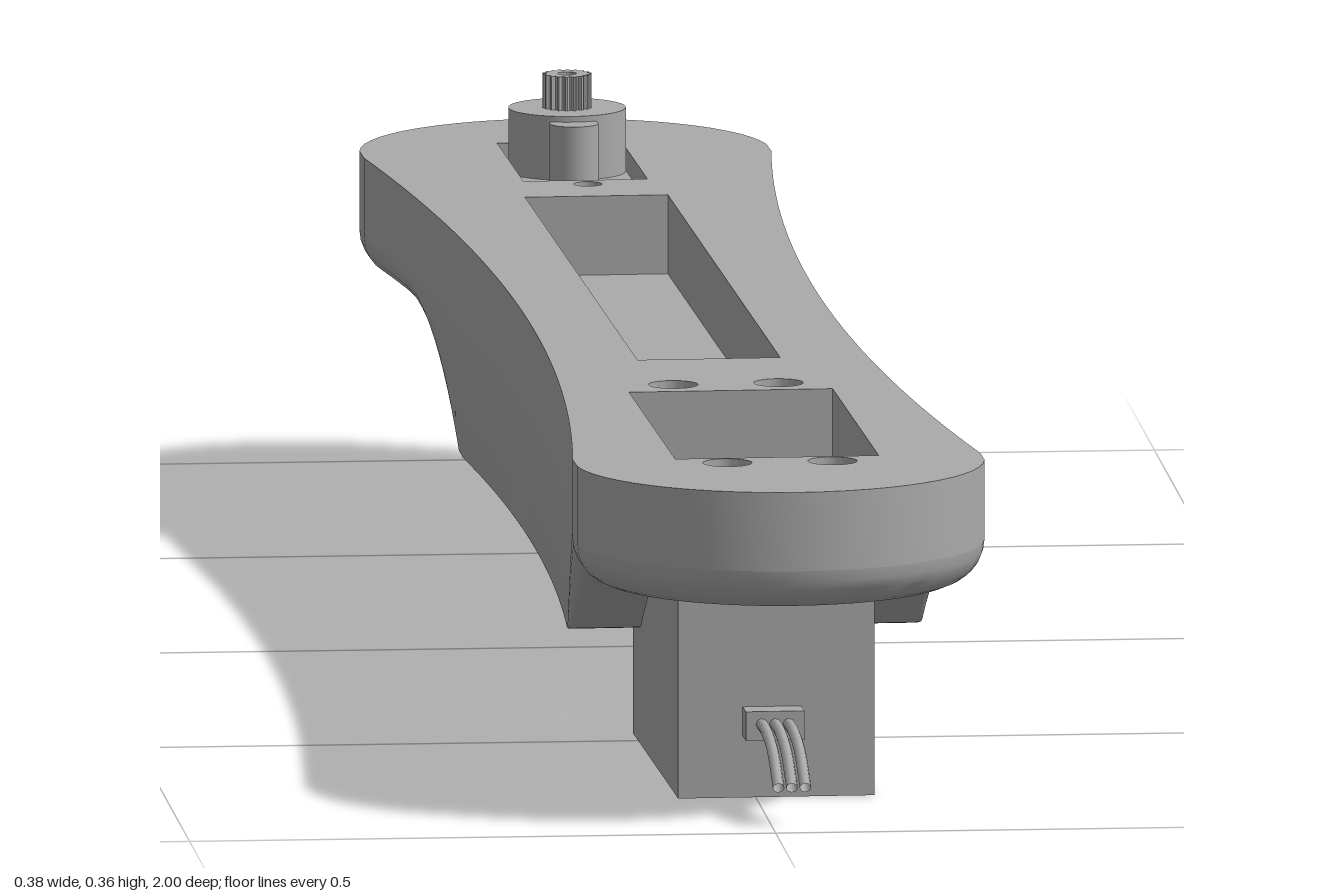
import * as THREE from 'three';
import { toCreasedNormals } from 'three/addons/utils/BufferGeometryUtils.js';

const TOP = 0.293, SHELF = 0.225, END_BOTTOM = 0.19, MID_BOTTOM = 0.105;

// Half outline of the arm from back tip to front tip: z, half width, outward normal
function halfOutline() {
  const pts = [], R = 0.175, C = 0.825, J = 0.807;
  const arc = (s, k) => {
    const a = (k / 14) * Math.PI / 2;
    return { z: s * (C + R * Math.cos(a)), w: R * Math.sin(a), nz: s * Math.cos(a), nw: Math.sin(a) };
  };
  for (let k = 0; k <= 13; k++) pts.push(arc(-1, k));
  for (let k = 0; k <= 80; k++) {
    const z = -J + (2 * J * k) / 80;
    const slope = 2 * 0.0441 * z / (J * J), l = Math.hypot(1, slope);
    pts.push({ z, w: 0.13 + 0.0441 * (z / J) ** 2, nz: -slope / l, nw: 1 / l });
  }
  for (let k = 13; k >= 0; k--) pts.push(arc(1, k));
  return pts;
}

// Underside height: deep in the middle, scooped up to thin ends
function underside(z) {
  const u = z > 0 ? (0.81 - z) / 0.25 : (z + 0.68) / 0.3;
  return END_BOTTOM - (END_BOTTOM - MID_BOTTOM) * Math.pow(THREE.MathUtils.clamp(u, 0, 1), 2.2);
}

// Half width of the motor openings in the underside
function openingHalf(z) {
  if (z > 0.245 && z < 0.89) return 0.089;
  if (z > -0.93 && z < -0.52) {
    const d = Math.max(0, z + 0.58) / 0.06;
    return 0.06 * Math.sqrt(Math.max(0, 1 - d * d));
  }
  return 0;
}

function rectPath(hw, z0, z1) {
  const p = new THREE.Path();
  p.moveTo(-hw, -z0); p.lineTo(hw, -z0); p.lineTo(hw, -z1); p.lineTo(-hw, -z1); p.closePath();
  return p;
}

function circlePath(x, z, r) {
  const p = new THREE.Path();
  p.absarc(x, -z, r, 0, Math.PI * 2, true);
  return p;
}

// Upper layer with pockets and screw holes
function topPlateGeometry(outline) {
  const right = outline.map(p => new THREE.Vector2(p.w, -p.z));
  const left = outline.slice(1, -1).reverse().map(p => new THREE.Vector2(-p.w, -p.z));
  const shape = new THREE.Shape([...right, ...left]);
  shape.holes.push(rectPath(0.061, -0.585, 0.285), rectPath(0.087, 0.455, 0.812), rectPath(0.053, -0.873, -0.67));
  for (const z of [0.418, 0.836]) for (const x of [-0.045, 0.045]) shape.holes.push(circlePath(x, z, 0.021));
  for (const z of [-0.894, -0.65]) shape.holes.push(circlePath(0, z, 0.012));
  const g = new THREE.ExtrudeGeometry(shape, { depth: TOP - SHELF, bevelEnabled: false, curveSegments: 12 });
  g.rotateX(-Math.PI / 2);
  g.translate(0, SHELF, 0);
  return toCreasedNormals(g, 0.5);
}

// Lower shell: side walls, rounded lower edge, scooped underside and openings
function lowerShellGeometry(outline) {
  const pos = [];
  const quad = (a, b, c, d) => pos.push(...a, ...b, ...c, ...a, ...c, ...d);
  const STEPS = 6;
  const slices = outline.map(p => {
    const yb = underside(p.z);
    const r = 0.002 + 0.033 * (yb - MID_BOTTOM) / (END_BOTTOM - MID_BOTTOM);
    const ring = [[p.w, SHELF, p.z]];
    for (let k = 0; k <= STEPS; k++) {
      const a = (k / STEPS) * Math.PI / 2, inset = r * (1 - Math.cos(a));
      ring.push([Math.max(0, p.w - p.nw * inset), yb + r * (1 - Math.sin(a)), p.z - p.nz * inset]);
    }
    return ring;
  });
  const flip = p => [-p[0], p[1], p[2]];
  const both = (a, b, c, d) => { quad(a, b, c, d); quad(flip(d), flip(c), flip(b), flip(a)); };
  for (let i = 0; i + 1 < slices.length; i++) {
    const A = slices[i], B = slices[i + 1], n = A.length - 1;
    for (let k = 0; k < n; k++) both(A[k], B[k], B[k + 1], A[k + 1]);
    const a = A[n], b = B[n];
    let ha = openingHalf(a[2]), hb = openingHalf(b[2]);
    const open = ha > 0 && hb > 0;
    if (!open) ha = hb = 0;
    const ia = [ha, a[1], a[2]], ib = [hb, b[1], b[2]];
    both(a, b, ib, ia);
    if (!open) continue;
    // opening walls
    const ua = [ha, SHELF, a[2]], ub = [hb, SHELF, b[2]];
    both(ia, ib, ub, ua);
    const before = openingHalf(slices[i - 1][n][2]), after = openingHalf(slices[i + 2][n][2]);
    if (before === 0) quad(flip(ia), ia, ua, flip(ua));
    if (after === 0) quad(ib, flip(ib), flip(ub), ub);
  }
  const g = new THREE.BufferGeometry();
  g.setAttribute('position', new THREE.Float32BufferAttribute(pos, 3));
  return toCreasedNormals(g, 0.5);
}

// Toothed output shaft with a centre hole
function splineGeometry() {
  const pts = [], teeth = 18;
  for (let i = 0; i < teeth * 4; i++) {
    const r = i % 4 < 2 ? 0.021 : 0.018, a = (i / (teeth * 4)) * Math.PI * 2;
    pts.push(new THREE.Vector2(r * Math.cos(a), r * Math.sin(a)));
  }
  const shape = new THREE.Shape(pts);
  shape.holes.push(circlePath(0, 0, 0.008));
  const g = new THREE.ExtrudeGeometry(shape, { depth: 0.03, bevelEnabled: false });
  return g.rotateX(-Math.PI / 2);
}

export function createModel() {
  const root = new THREE.Group();
  root.name = 'motorArm';
  const arm = new THREE.Group();
  arm.name = 'armAssembly';
  arm.rotation.y = 0.0218;
  root.add(arm);

  const grey = new THREE.MeshStandardMaterial({ color: 0xaaaaaa, side: THREE.DoubleSide });
  grey.name = 'grey';
  const add = (name, geo, x = 0, y = 0, z = 0) => {
    const m = new THREE.Mesh(geo, grey);
    m.name = name;
    m.position.set(x, y, z);
    arm.add(m);
    return m;
  };
  const box = (name, hw, y0, y1, z0, z1, x = 0) =>
    add(name, new THREE.BoxGeometry(hw * 2, y1 - y0, z1 - z0), x, (y0 + y1) / 2, (z0 + z1) / 2);

  // Arm body
  const outline = halfOutline();
  add('armTopPlate', topPlateGeometry(outline));
  add('armLowerShell', lowerShellGeometry(outline));
  add('longPocketFloor', new THREE.PlaneGeometry(0.122, 0.87).rotateX(-Math.PI / 2), 0, SHELF, -0.15);

  // Front motor with plug and three wires
  box('frontMotor', 0.084, 0, SHELF, 0.46, 0.808);
  box('frontPlug', 0.025, 0.053, 0.078, 0.808, 0.835, -0.004);
  for (const i of [-1, 0, 1]) {
    const x = -0.004 + i * 0.0115;
    const curve = new THREE.CatmullRomCurve3([
      new THREE.Vector3(x, 0.067, 0.83), new THREE.Vector3(x, 0.066, 0.875),
      new THREE.Vector3(x, 0.056, 0.925), new THREE.Vector3(x, 0.033, 0.965)]);
    add('wire', new THREE.TubeGeometry(curve, 14, 0.005, 8));
  }

  // Rear motor with gear housing, output shaft and pin socket
  box('rearMotor', 0.05, 0.085, 0.278, -0.862, -0.672);
  add('gearHousing', new THREE.CylinderGeometry(0.05, 0.05, 0.058, 40), 0, 0.304, -0.812);
  add('smallGearHousing', new THREE.CylinderGeometry(0.021, 0.021, 0.053, 24), 0, 0.3015, -0.757);
  add('outputShaft', splineGeometry(), 0, 0.332, -0.812);
  box('rearSocket', 0.014, 0.117, 0.132, -0.884, -0.862);

  return root;
}
